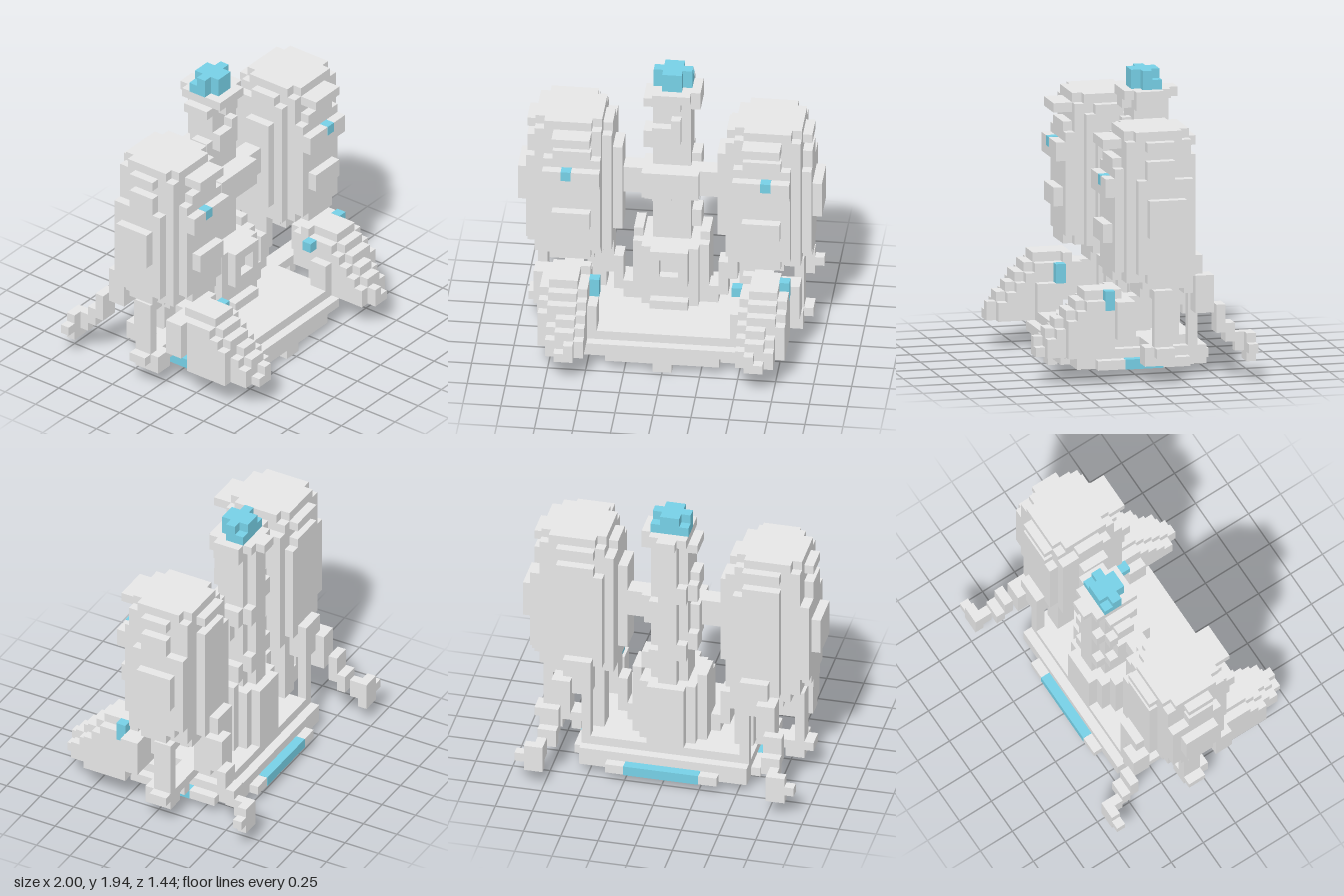
import * as THREE from 'three';

const U = 0.0625; // one block
const grey = new THREE.MeshStandardMaterial({ color: 0xe6e6e6 });
grey.name = 'hull grey';
const blue = new THREE.MeshStandardMaterial({ color: 0x76d0e6 });
blue.name = 'light blue';

// box given by its limits in blocks; grow lifts painted blocks just clear of the hull
function block(parent, name, x0, x1, y0, y1, z0, z1, mat = grey, grow = 0) {
  const g = 2 * grow;
  const m = new THREE.Mesh(
    new THREE.BoxGeometry((x1 - x0) * U + g, (y1 - y0) * U + g, (z1 - z0) * U + g), mat);
  m.position.set((x0 + x1) / 2 * U, (y0 + y1) / 2 * U, (z0 + z1) / 2 * U);
  m.name = name;
  parent.add(m);
}
const light = (p, name, ...b) => block(p, name, ...b, blue, 0.002);

// list of boxes, s = -1 mirrors them to the other side
function blocks(parent, name, list, s = 1) {
  const g = new THREE.Group();
  g.name = name;
  for (const [a, b, ...r] of list)
    block(g, name, s > 0 ? a : -b, s > 0 ? b : -a, ...r);
  parent.add(g);
  return g;
}

function makeBase(root) {
  const g = blocks(root, 'base', [
    [-9, 9, 2, 3, -7.5, 6.5],      // slab
    [-8, 8, 3, 4, -6.5, 6.5],      // deck
    [-8, 8, 2, 3, 6.5, 7.5],       // front bumper
    [-6, 6, 1, 2, 6.5, 7.5],
    [-9, 9, 1, 2, 5.5, 6.5],       // rim underneath
    [-9, 9, 1, 2, -7.5, -6.5],
    [-6, 6, 1, 2, -8.5, -7.5],
    [-1, 1, 0, 1, 6.5, 7.5],       // front toe
  ]);
  for (const s of [1, -1]) {
    blocks(g, 'sideRim', [[8, 9, 1, 2, -7, 6], [9, 10, 1, 2, -5.5, 4.5]], s);
    light(g, 'sideLight', s > 0 ? 9 : -10, s > 0 ? 10 : -9, 1, 2, -2.5, 1.5);
  }
  light(g, 'backLight', -4, 4, 1, 2, -8.5, -7.5);
}

function makeTower(root) {
  blocks(root, 'pedestal', [
    [-4, 4, 4, 11, -4.5, -0.5],
    [-3, 3, 4, 11, -5.5, 0.5],
    [-2, 2, 4, 11, -6.5, 0.5],
    [-4, -3, 11, 12, -4.5, -1.5], [3, 4, 11, 12, -4.5, -1.5],
    [-2, 2, 10, 11, 0.5, 1.5],     // front frame
    [-2, 2, 7, 8, 0.5, 1.5],
    [-2, -1, 8, 10, 0.5, 1.5], [1, 2, 8, 10, 0.5, 1.5],
    [-2, 2, 4, 5, 0.5, 1.5],
  ]);
  blocks(root, 'mast', [
    [-2, 2, 11, 29, -4.5, -1.5],
    [-1, 1, 11, 29, -5.5, -1.5],
  ]);
  // stepped spiral rising around the mast
  const spiral = [];
  const perTurn = 16;
  for (let i = 0; i <= perTurn * 1.85; i++) {
    const a = i / perTurn * Math.PI * 2;
    const x = Math.floor(2.6 * Math.cos(a) + 1e-6);
    const z = -3.5 - Math.round(2.2 * Math.sin(a));
    const y = 12 + Math.round(6.5 * i / perTurn);
    spiral.push([x, x + 1, y, y + 2, z, z + 1]);
  }
  blocks(root, 'spiral', spiral);
  blocks(root, 'mastCap', [
    [2, 3, 27, 29, -4.5, -1.5], [-3, -2, 27, 28, -4.5, -1.5],
    [-2, 2, 28, 29, -5.5, -0.5], [-1, 1, 27, 28, -1.5, -0.5],
    [-1, 1, 28, 29, -6.5, -5.5],
  ]);
  blocks(root, 'bridge', [
    [-6, 6, 17, 20, -2.5, -0.5],
    [-3, 3, 17, 20, -3.5, 0.5],
  ]);
  light(root, 'beacon', -2, 2, 29, 30, -4.5, -2.5);
  light(root, 'beaconTop', -2, 2, 30, 31, -3.5, -2.5);
  light(root, 'beaconBack', -1, 1, 30, 31, -4.5, -3.5);
  light(root, 'beaconFront', -1, 1, 29, 31, -2.5, -1.5);
}

function makeTank(root, s) {
  const g = blocks(root, 'tank', [
    [6, 14, 11, 25, -4.5, 1.5],    // rounded body
    [7, 14, 11, 25, -4.5, 2.5],
    [8, 12, 11, 24, -5.5, 3.5],
    [7, 13, 12, 23, 2.5, 3.5],
    [7, 9, 12, 23, -5.5, -4.5],
    [6, 15, 25, 26, -2.5, 0.5],    // cap
    [7, 14, 25, 26, -4.5, 2.5],
    [7, 14, 26, 27, -3.5, 1.5],
    [8, 13, 26, 27, -4.5, 2.5],
    [8, 12, 25, 26, -5.5, 4.5],
    [14, 15, 12, 22, -3.5, 1.5],   // outer rib and fin
    [14, 15, 11, 24, -2.5, 0.5],
    [14, 15, 13, 22, -4.5, -3.5],
    [15, 16, 16, 20, -3.5, 0.5],
    [5, 6, 13, 23, -2.5, 0.5],     // inner rib
    [7, 13, 20, 22, 2.5, 4.5],     // front panels
    [8, 12, 15, 17, 3.5, 4.5],
    [7, 13, 10, 11, -4.5, 0.5],    // nozzle
    [8, 12, 9, 10, -3.5, 0.5],
  ], s);
  light(g, 'tankLight', s > 0 ? 10 : -11, s > 0 ? 11 : -10, 21, 22, 3.5, 4.5);
}

function makeLegs(root, s) {
  // stepped front leg with lower flanks: z start, z end, top, inner x, outer x
  const steps = [[10.5, 11.5, 5, 9, 11], [9.5, 10.5, 6, 8, 12], [8.5, 9.5, 7, 8, 12],
    [7.5, 8.5, 8, 8, 13], [6.5, 7.5, 9, 8, 13], [3.5, 6.5, 10, 8, 13]];
  const front = blocks(root, 'frontLeg', steps.flatMap(([z0, z1, y, a, b]) => [
    [b - a > 2 ? a + 1 : a, b - 1, 3, y, z0, z1], [a, b, 3, y - 1, z0, z1]]), s);
  blocks(front, 'frontLegBrace', [
    [8, 12, 5, 9, 1.5, 3.5], [8, 12, 9, 10, 2.5, 3.5], [9, 11, 6, 9, 0.5, 1.5],
    [7, 8, 4, 7, 4.5, 6.5], [12, 13, 8, 9, 3.5, 4.5], [12, 14, 5, 9, 1.5, 3.5],
  ], s);
  light(front, 'innerLight', s > 0 ? 7 : -8, s > 0 ? 8 : -7, s > 0 ? 8 : 7, 9, 3.5, 4.5);
  if (s > 0) light(front, 'outerLight', 12, 13, 8, 10, 3.5, 4.5);

  blocks(root, 'sidePost', [
    [13, 14, 4, 10, -2.5, -0.5], [12, 13, 9, 11, -2.5, -0.5],
    [11, 15, 3, 4, -2.5, -0.5], [12, 14, 2, 4, -2.5, 0.5],
    [8, 13, 3, 4, -2.5, -0.5], [10, 11, 2, 3, -2.5, -0.5],
  ], s);
  // posts and arms between tank, deck and pedestal
  blocks(root, 'supportArm', [
    [7, 9, 4, 11, -4.5, -2.5],
    [6, 7, 7, 11, -2.5, -0.5], [5, 6, 5, 8, -2.5, -0.5], [4, 5, 4, 6, -2.5, -0.5],
    [5, 6, 8, 9, -2.5, -0.5],
  ], s);
  blocks(root, 'backLeg', [
    [8, 11, 9, 13, -6.5, -4.5], [10, 12, 7, 11, -7.5, -5.5],
    [8, 9, 3, 11, -6.5, -5.5],
    [11, 13, 5, 8, -8.5, -7.5], [11, 13, 4, 6, -9.5, -8.5],
    [12, 13, 3, 5, -10.5, -9.5], [12, 14, 2, 5, -11.5, -10.5],
    [14, 15, 3, 4, -11.5, -10.5],
  ], s);
}

export function createModel() {
  const root = new THREE.Group();
  root.name = 'rocketStation';
  makeBase(root);
  makeTower(root);
  for (const s of [1, -1]) {
    makeTank(root, s);
    makeLegs(root, s);
  }
  return root;
}
